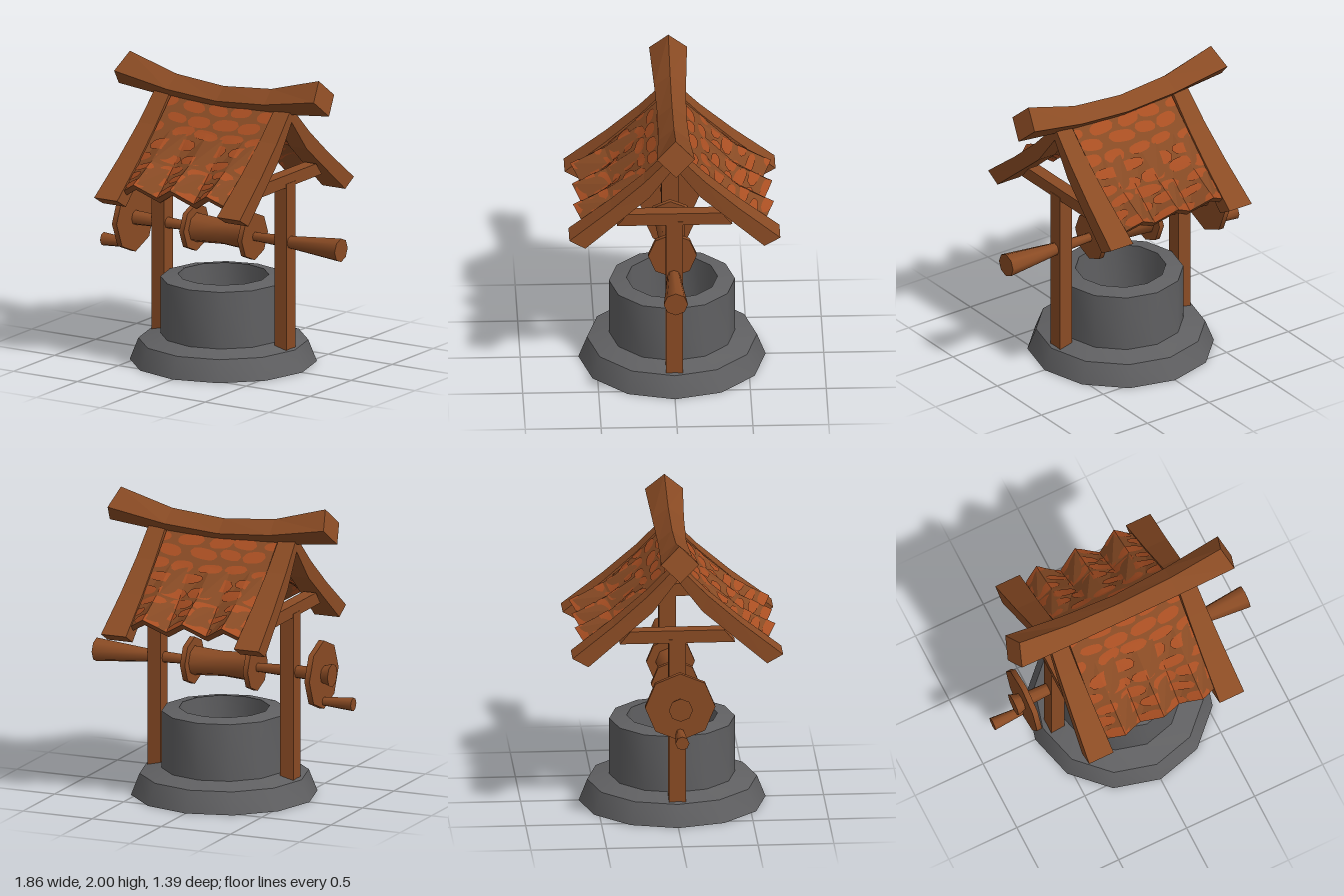
import * as THREE from 'three';
import { toCreasedNormals } from 'three/addons/utils/BufferGeometryUtils.js';

const mat = (name, color, side = THREE.FrontSide) => {
  const m = new THREE.MeshStandardMaterial({ color, side });
  m.name = name;
  return m;
};

// Flat-shaded solid through equal cross-section loops, capped at both ends
function loft(sections) {
  const pos = [];
  const quad = (a, b, c, d) => pos.push(...a, ...b, ...c, ...a, ...c, ...d);
  const n = sections[0].length;
  for (let i = 0; i < sections.length - 1; i++) {
    const s = sections[i], t = sections[i + 1];
    for (let j = 0; j < n; j++) quad(s[j], s[(j + 1) % n], t[(j + 1) % n], t[j]);
  }
  const first = sections[0], last = sections[sections.length - 1];
  for (let j = 0; j < n / 2 - 1; j++) {
    quad(last[j], last[j + 1], last[n - 2 - j], last[n - 1 - j]);
    quad(first[n - 1 - j], first[n - 2 - j], first[j + 1], first[j]);
  }
  return fromPositions(pos);
}

function fromPositions(pos) {
  const g = new THREE.BufferGeometry();
  g.setAttribute('position', new THREE.Float32BufferAttribute(pos, 3));
  g.computeVertexNormals();
  return g;
}

const lathe = (profile, sides) => toCreasedNormals(
  new THREE.LatheGeometry(profile.map(([r, y]) => new THREE.Vector2(r, y)), sides), 0.82);

// Turned part along x, profile given as [x, radius]
const turned = (profile) => lathe(
  [[0, profile[0][0]], ...profile.map(([x, r]) => [r, x]), [0, profile[profile.length - 1][0]]], 8
).rotateZ(-Math.PI / 2);

// Point on the pleated roof: s runs 0..3 from ridge to eave, off moves along the normal
const SLOPE = [[0, 1.77], [0.2, 1.575], [0.42, 1.388], [0.625, 1.25]];
const FOLDS = [-0.4, -0.285, -0.1425, 0, 0.1425, 0.285, 0.4];
function roofPoint(x, s, off) {
  const i = Math.min(2, Math.floor(s)), t = s - i;
  const z = THREE.MathUtils.lerp(SLOPE[i][0], SLOPE[i + 1][0], t);
  const y = THREE.MathUtils.lerp(SLOPE[i][1], SLOPE[i + 1][1], t);
  const u = (Math.abs(x) / 0.285) % 1;
  const pleat = Math.abs(u - 0.5) * 4 - 1;
  const h = off + 0.055 * Math.max(0, s - 1) / 2 * pleat;
  return [x, y + 0.77 * h, z + 0.63 * h];
}

// Rounded tile patches laid on the roof in staggered rows
function tilePatches(off, seed) {
  const rand = () => (seed = (seed * 16807) % 2147483647) / 2147483647;
  const pos = [];
  for (let row = 0; row < 8; row++) {
    const s0 = 0.3 + row * 0.37;
    for (let k = -2; k <= 2; k++) {
      const cx = k * 0.2 + (row % 2 ? 0.1 : 0) + (rand() - 0.5) * 0.05;
      const cs = s0 + (rand() - 0.5) * 0.1;
      const w = 0.075 + rand() * 0.028, h = 0.115 + rand() * 0.05, tilt = (rand() - 0.5) * 0.1;
      const a = Math.max(-0.398, cx - w), b = Math.min(0.398, cx + w);
      if (b - a < 0.03) continue;
      const xs = FOLDS.filter((f) => f > a && f < b);
      for (let i = 0; i <= 10; i++) xs.push(a + (b - a) * i / 10);
      xs.sort((p, q) => p - q);
      const at = (x, v) => {
        const d = Math.min(1, Math.abs(x - cx) / w);
        const s = cs + tilt * (x - cx) / w + v * h * Math.pow(1 - d ** 2.6, 0.45);
        return roofPoint(x, THREE.MathUtils.clamp(s, 0, 3), off);
      };
      for (let i = 0; i < xs.length - 1; i++) {
        for (let v = -1; v < 1; v += 0.5) {
          const p = at(xs[i], v), q = at(xs[i], v + 0.5);
          const r = at(xs[i + 1], v + 0.5), t = at(xs[i + 1], v);
          pos.push(...p, ...q, ...r, ...p, ...r, ...t);
        }
      }
    }
  }
  return fromPositions(pos);
}

export function createModel() {
  const model = new THREE.Group();
  model.name = 'well';
  const wood = mat('wood', 0x8a4b24);
  const roofBase = mat('roofBrown', 0x874a24);
  const tile = mat('tileOrange', 0xa84e22, THREE.DoubleSide);
  const stone = mat('stoneGrey', 0x606062, THREE.DoubleSide);
  const add = (name, geo, material, parent = model) => {
    const m = new THREE.Mesh(geo, material);
    m.name = name;
    parent.add(m);
    return m;
  };

  // Stone ring with a flared foot, open underneath
  add('stoneRing', lathe([[0.617, 0], [0.56, 0.145], [0.415, 0.18], [0.415, 0.565],
    [0.3, 0.585], [0.3, 0.05], [0.415, 0.05], [0.415, 0.17]], 12), stone);

  // Posts and the tie beams on top of them
  for (const side of [-1, 1]) {
    const cx = side * 0.48 + 0.002;
    const post = add('post', new THREE.BoxGeometry(0.095, 1.23, 0.112), wood);
    post.position.set(cx, 0.665, 0);
    const section = (x) => [[x, 1.34, -0.31], [x, 1.34, 0.31], [x, 1.255, 0.38], [x, 1.255, -0.38]];
    add('tieBeam', loft([section(cx - 0.045), section(cx + 0.045)]), wood);
  }

  // Sagging ridge beam with a diamond section: [x, centre y, half height, half width, end lean]
  const ridge = [[-0.775, 1.885, 0.115, 0.125, 0.043], [-0.375, 1.81, 0.085, 0.105, 0.01],
    [0.003, 1.78, 0.083, 0.095, 0], [0.385, 1.81, 0.085, 0.105, -0.01], [0.787, 1.885, 0.115, 0.125, -0.04]];
  add('ridgeBeam', loft(ridge.map(([x, y, h, w, lean]) => [
    [x + lean, y + h, 0], [x, y, w], [x - lean, y - h, 0], [x, y, -w]])), wood);

  // Two roof halves, each with a pleated sheet, tiles and two curved rafters
  const rafter = [[0, 1.79, 0, 1.69, 0.47, 0.06], [0.2, 1.585, 0.165, 1.475, 0.473, 0.068],
    [0.42, 1.392, 0.35, 1.318, 0.476, 0.078], [0.695, 1.175, 0.59, 1.115, 0.48, 0.09]];
  for (const turn of [0, 1]) {
    const half = new THREE.Group();
    half.name = turn ? 'backRoof' : 'frontRoof';
    half.rotation.y = turn * Math.PI;
    half.position.x = 0.005;
    model.add(half);
    const across = [...FOLDS].reverse();
    add('roofSheet', loft([0, 1, 2, 3].map((s) => [
      ...across.map((x) => roofPoint(x, s, 0)),
      ...FOLDS.map((x) => roofPoint(x, s, -0.05))])), roofBase, half);
    add('roofTiles', tilePatches(0.004, 17 + turn * 40), tile, half);
    add('undersideTiles', tilePatches(-0.054, 91 + turn * 40), tile, half);
    for (const side of [-1, 1]) {
      add('rafter', loft(rafter.map(([zo, yo, zi, yi, c, w]) => {
        const a = side * c + w, b = side * c - w;
        return [[a, yi, zi], [a, yo, zo], [b, yo, zo], [b, yi, zi]];
      })), wood, half);
    }
  }

  // Windlass: axle, rope drum with flanges, crank wheel and handle
  const windlass = new THREE.Group();
  windlass.name = 'windlass';
  windlass.position.set(0, 0.875, 0.005);
  model.add(windlass);
  add('axle', turned([[-0.78, 0.08], [-0.69, 0.05], [-0.24, 0.03], [0.25, 0.03],
    [0.52, 0.042], [0.925, 0.08]]), wood, windlass);
  add('drum', turned([[-0.21, 0.1], [0.005, 0.085], [0.22, 0.1]]), wood, windlass);
  add('drumFlange', turned([[-0.24, 0.16], [-0.205, 0.16]]), wood, windlass);
  add('drumFlange', turned([[0.215, 0.16], [0.25, 0.16]]), wood, windlass);
  add('crankWheel', turned([[-0.72, 0.232], [-0.683, 0.232]]), wood, windlass);
  const handle = add('crankHandle', turned([[-0.933, 0.046], [-0.7, 0.028]]), wood, windlass);
  handle.position.y = -0.18;

  return model;
}
